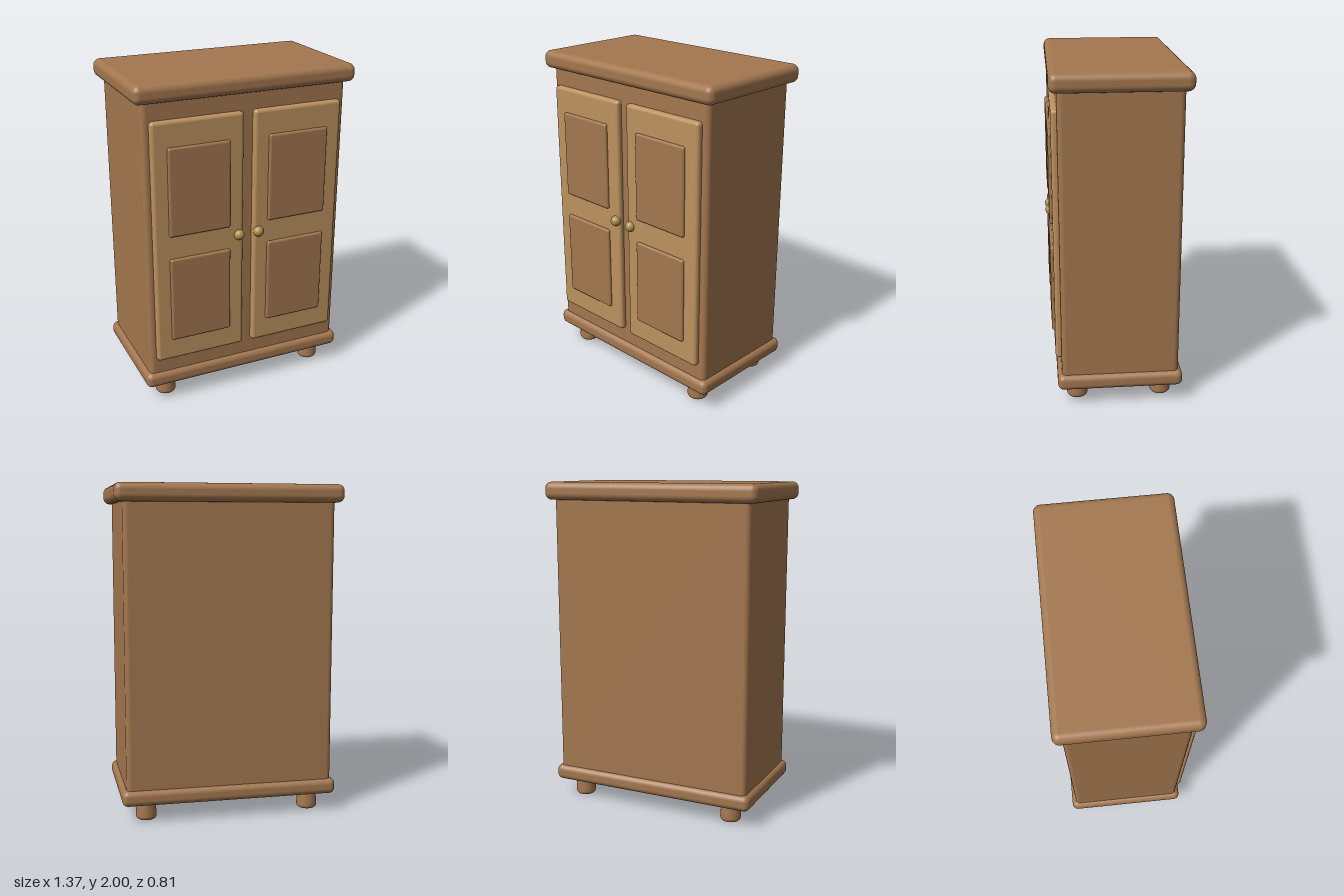
import * as THREE from 'three';
import { RoundedBoxGeometry } from 'three/addons/geometries/RoundedBoxGeometry.js';

const wood = new THREE.MeshStandardMaterial({ color: 0xa3774f });
const lightWood = new THREE.MeshStandardMaterial({ color: 0xbc915f });
const brass = new THREE.MeshStandardMaterial({ color: 0xb0924a });

const CENTER_Z = -0.012;

// Rounded block given by its extents on each axis
function block(name, [x0, x1], [y0, y1], [z0, z1], radius, material) {
  const geometry = new RoundedBoxGeometry(x1 - x0, y1 - y0, z1 - z0, 5, radius);
  const mesh = new THREE.Mesh(geometry, material);
  mesh.position.set((x0 + x1) / 2, (y0 + y1) / 2, (z0 + z1) / 2);
  mesh.name = name;
  return mesh;
}

// Block centred left to right and on the carcass depth
function slab(name, halfWidth, y, depth, radius) {
  const z = [CENTER_Z - depth / 2, CENTER_Z + depth / 2];
  return block(name, [-halfWidth, halfWidth], y, z, radius, wood);
}

// Door with two raised panels and a knob
function door(side) {
  const group = new THREE.Group();
  group.name = side > 0 ? 'leftDoor' : 'rightDoor';
  const span = (a, b) => (side > 0 ? [a, b] : [-b, -a]);
  group.add(block('doorFrame', span(0.033, 0.593), [0.297, 1.793], [0.31, 0.37], 0.02, lightWood));
  for (const [name, y] of [['upperPanel', [1.108, 1.643]], ['lowerPanel', [0.434, 0.968]]]) {
    group.add(block(name, span(0.122, 0.502), y, [0.345, 0.386], 0.014, wood));
  }
  const knob = new THREE.Mesh(new THREE.SphereGeometry(0.032, 28, 20), brass);
  knob.name = 'knob';
  knob.position.set(side * 0.063, 1.047, 0.372);
  group.add(knob);
  return group;
}

// Turned foot: swollen near the floor with a rounded lower edge
function footGeometry() {
  const profile = [new THREE.Vector2(0, 0), new THREE.Vector2(0.04, 0)];
  for (let i = 1; i <= 6; i++) {
    const a = (i / 6) * Math.PI / 2;
    profile.push(new THREE.Vector2(0.04 + 0.023 * Math.sin(a), 0.025 * (1 - Math.cos(a))));
  }
  profile.push(new THREE.Vector2(0.061, 0.055), new THREE.Vector2(0.056, 0.12));
  return new THREE.LatheGeometry(profile, 32);
}

export function createModel() {
  const model = new THREE.Group();
  model.name = 'wardrobe';

  // Carcass, plinth and cornice
  model.add(slab('body', 0.633, [0.14, 1.95], 0.696, 0.03));
  model.add(slab('basePlinth', 0.66, [0.107, 0.203], 0.746, 0.036));
  model.add(slab('topCornice', 0.683, [1.893, 2], 0.784, 0.04));

  // Doors and feet
  const foot = footGeometry();
  for (const side of [1, -1]) {
    model.add(door(side));
    for (const end of [1, -1]) {
      const mesh = new THREE.Mesh(foot, wood);
      mesh.name = end > 0 ? 'frontFoot' : 'backFoot';
      mesh.position.set(side * 0.508, 0, CENTER_Z + end * 0.254);
      model.add(mesh);
    }
  }
  return model;
}
